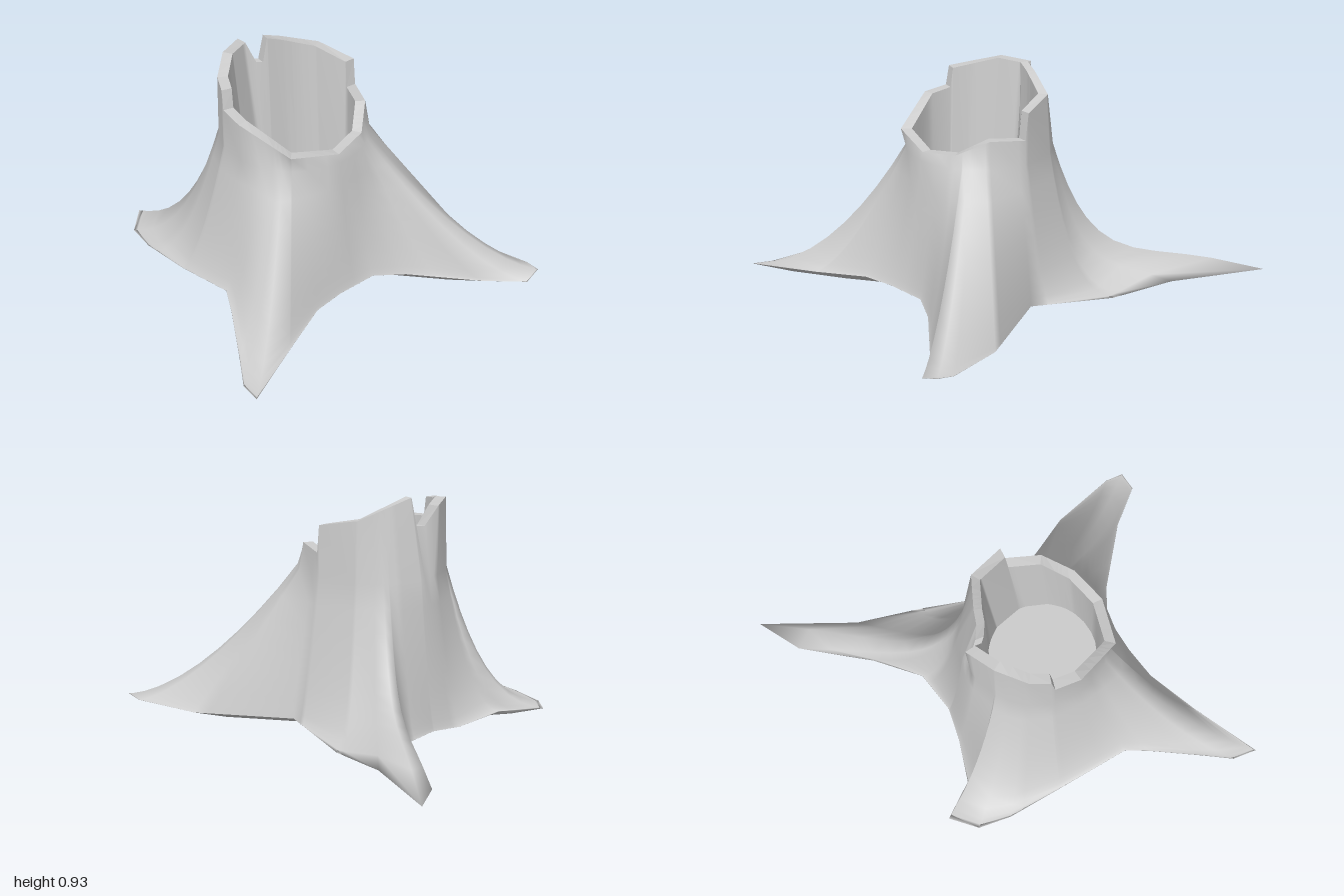
import * as THREE from 'three';

const CX = -0.14, CZ = 0.08; // trunk axis
const SHOULDER = 0.62, RADIUS = 0.295; // where the round trunk starts to flare

// Foot outline: x, y, z and flare power (high = hollow slope, low = full rounded side)
const FOOT = [
  [0.82, 0.07, -0.14, 1.65], [0.80, 0.05, -0.07, 1.6], [0.63, 0.03, -0.03, 1.4], [0.35, 0.07, 0.10, 1.25],
  [0.24, 0.085, 0.18, 1.3], [0.17, 0.09, 0.34, 1.3], [0.13, 0.09, 0.47, 1.2], [0.12, 0.07, 0.70, 1.5],
  [0.12, 0.06, 0.995, 2], [0.04, 0.05, 0.94, 2], [-0.03, 0.08, 0.83, 1.7], [-0.15, 0.13, 0.65, 1.5],
  [-0.21, 0.15, 0.57, 1.5], [-0.47, 0.09, 0.44, 1.6], [-0.68, 0.07, 0.34, 2.1], [-0.79, 0.06, 0.26, 2.5],
  [-0.83, 0.07, 0.14, 2.6], [-0.66, 0.05, 0.11, 2.2], [-0.53, 0.02, -0.03, 1.5], [-0.45, 0.03, -0.14, 1.4],
  [-0.40, 0.04, -0.31, 1.8], [-0.47, 0.05, -0.53, 3], [-0.60, 0.05, -0.80, 5], [-0.61, 0.06, -0.995, 5.8],
  [-0.37, 0.05, -0.67, 4.6], [-0.16, 0.035, -0.49, 3], [0.09, 0.06, -0.23, 0.9], [0.50, 0.05, -0.24, 1],
  [0.76, 0.06, -0.18, 1.5],
];

// Broken rim: x, y, z, with close pairs where the wood has split
const RIM = [
  [0.14, 0.67, 0.07], [0.11, 0.655, 0.22], [-0.02, 0.69, 0.37], [-0.24, 0.78, 0.36], [-0.33, 0.79, 0.305],
  [-0.34, 0.87, 0.295], [-0.39, 0.88, 0.23], [-0.43, 0.91, 0.10], [-0.43, 0.90, -0.03], [-0.38, 0.82, -0.035],
  [-0.35, 0.82, -0.045], [-0.33, 0.93, -0.05], [-0.28, 0.91, -0.10], [-0.16, 0.86, -0.20], [0.0, 0.83, -0.18],
  [0.01, 0.72, -0.172], [0.10, 0.73, -0.06],
];

const TAU = Math.PI * 2;
const angle = (p) => (Math.atan2(p[2] - CZ, p[0] - CX) + TAU) % TAU;

// Look up a closed outline at an angle round the trunk axis
function sampler(points) {
  const list = points.map((p) => [angle(p), p]).sort((a, b) => a[0] - b[0]);
  return (t) => {
    let j = list.findIndex((e) => e[0] > t + 1e-9);
    if (j < 0) j = 0;
    const [a0, p0] = list[(j + list.length - 1) % list.length];
    const [a1, p1] = list[j];
    const k = ((t - a0 + TAU) % TAU) / ((a1 - a0 + TAU) % TAU);
    return p0.map((v, i) => v + (p1[i] - v) * k);
  };
}

// Skin closed rings of equal length, listed so that the surface faces outward
function loft(rings) {
  const n = rings[0].length, index = [];
  for (let r = 0; r < rings.length - 1; r++) {
    for (let i = 0; i < n; i++) {
      const a = r * n + i, b = r * n + ((i + 1) % n);
      index.push(a, b, a + n, b, b + n, a + n);
    }
  }
  const geo = new THREE.BufferGeometry();
  geo.setAttribute('position', new THREE.Float32BufferAttribute(rings.flat(2), 3));
  geo.setIndex(index);
  geo.computeVertexNormals();
  return geo;
}

export function createModel() {
  const group = new THREE.Group();
  const add = (name, geo, flatShading = false) => {
    const mesh = new THREE.Mesh(geo, new THREE.MeshStandardMaterial({ color: 0xcccccc, flatShading, side: THREE.DoubleSide }));
    mesh.name = name;
    group.add(mesh);
  };

  // One column of the surface for every corner of either outline
  const angles = [...FOOT, ...RIM].map(angle).sort((a, b) => a - b).filter((t, i, all) => i === 0 || t - all[i - 1] > 0.004);
  const foot = angles.map(sampler(FOOT)), rim = angles.map(sampler(RIM));
  const circle = (r, y) => angles.map((t) => [CX + Math.cos(t) * r, y, CZ + Math.sin(t) * r]);
  const shoulder = circle(RADIUS, SHOULDER);

  // Trunk flaring into four rounded roots; the flattest root swells again along its length
  const heights = [1, 0.82, 0.65, 0.5, 0.36, 0.24, 0.14, 0.06, 0.02, 0.003, 0.0003, 0];
  const bark = heights.map((h) => foot.map(([x, y, z, p], i) => {
    const f = 1 - Math.pow(h, 1 / p);
    const swell = 0.02 * Math.max(0, p - 2) * Math.sin(Math.PI * f);
    const [sx, , sz] = shoulder[i];
    return [sx + (x - sx) * f, y + (SHOULDER - y) * h + swell, sz + (z - sz) * f];
  }));

  // Underside tucked in below the foot
  const scaled = (ring, s, height) => ring.map(([x, y, z]) => [CX + (x - CX) * s, height(y), CZ + (z - CZ) * s]);
  const bottom = bark[bark.length - 1];
  const under = [
    scaled(bottom, 0.82, (y) => y * 0.8 - 0.016),
    scaled(bottom, 0.4, () => 0.035),
    scaled(bottom, 0, () => 0.04),
  ];
  add('trunkAndRoots', loft([rim, ...bark, ...under]));

  // Thick broken edge round the hollow
  const inner = scaled(rim, 0.86, (y) => y);
  add('brokenRim', loft([inner, rim]), true);

  // Hollow with a flat floor
  const floor = circle(RADIUS * 0.74, 0.3).map(([x, y, z]) => [x + 0.03, y, z + 0.015]);
  add('hollowWall', loft([floor, inner]));
  add('hollowFloor', loft([floor.map(() => [CX + 0.03, 0.3, CZ + 0.015]), floor]));
  return group;
}
